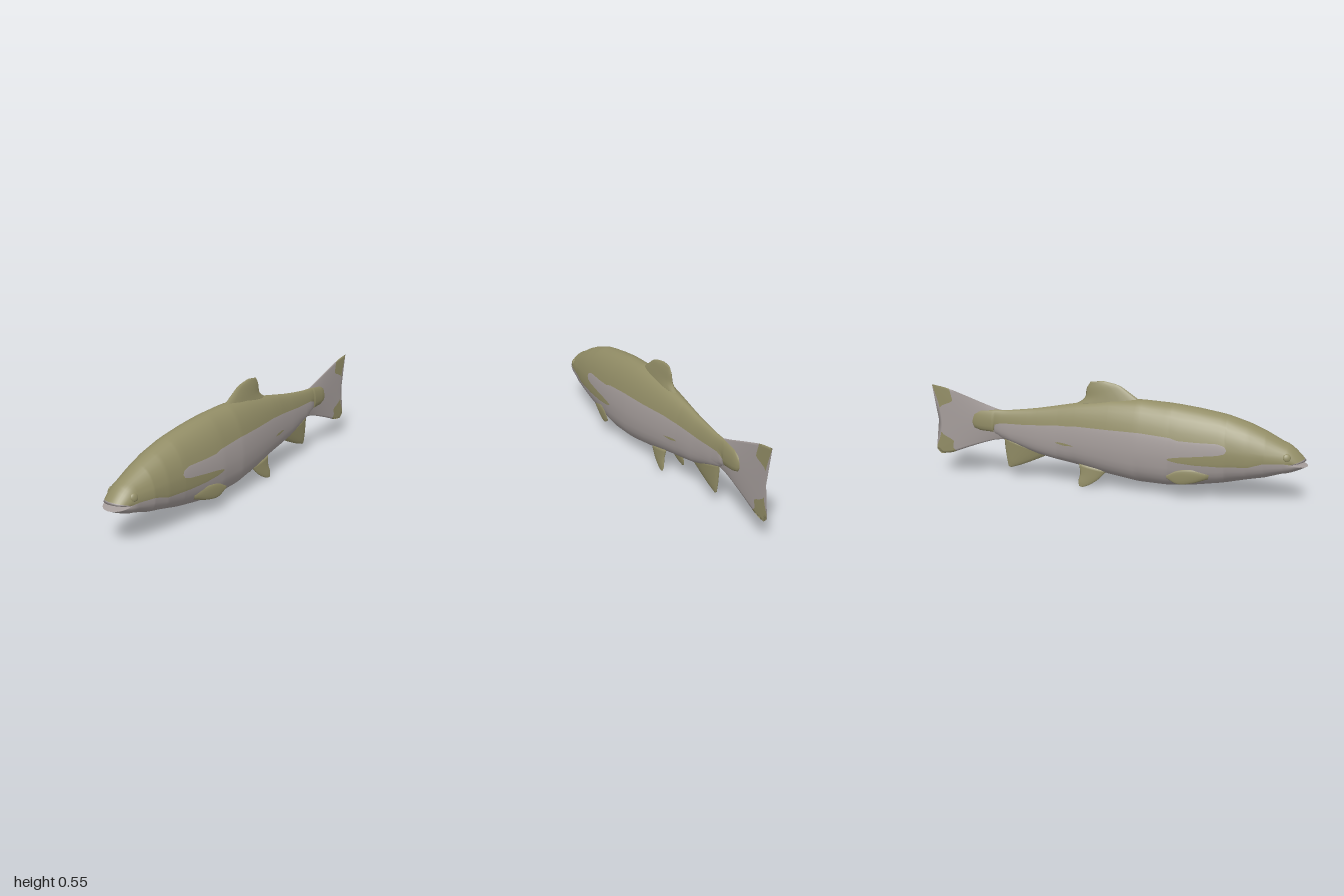
import * as THREE from 'three';
import { mergeVertices } from 'three/addons/utils/BufferGeometryUtils.js';

const V = (x, y, z) => new THREE.Vector3(x, y, z);
const { lerp, clamp } = THREE.MathUtils;

// Closed, capped loft through rings of points; colourOf(i, j) picks material 0 or 1 per face.
function loft(name, rings, materials, colourOf = () => 0) {
  const n = rings[0].length;
  const middle = ring => {
    const c = ring.reduce((sum, p) => sum.add(p), V(0, 0, 0)).divideScalar(n);
    return ring.map(() => c);
  };
  const all = [middle(rings[0]), ...rings, middle(rings[rings.length - 1])];
  const pts = all.flat();
  const faces = [[], []];
  let volume = 0;
  const tri = (list, a, b, c) => {
    list.push(a, b, c);
    volume += pts[a].dot(pts[b].clone().cross(pts[c]));
  };
  for (let i = 0; i < all.length - 1; i++) {
    for (let j = 0; j < n; j++) {
      const list = faces[colourOf(i - 1, j)];
      const a = i * n + j, b = i * n + (j + 1) % n;
      tri(list, a, b, b + n);
      tri(list, a, b + n, a + n);
    }
  }
  // Turn all faces outward
  if (volume < 0) faces.forEach(f => f.reverse());
  let geo = new THREE.BufferGeometry().setFromPoints(pts);
  geo.setIndex([...faces[0], ...faces[1]]);
  geo.addGroup(0, faces[0].length, 0);
  geo.addGroup(faces[0].length, faces[1].length, 1);
  geo = mergeVertices(geo, 1e-5);
  geo.computeVertexNormals();
  const mesh = new THREE.Mesh(geo, materials);
  mesh.name = name;
  return mesh;
}

// Read a table row at z (rows run from high z to low z), straight or smooth.
function sample(table, z, col, smooth) {
  let k = 0;
  while (k < table.length - 2 && z < table[k + 1][0]) k++;
  const a = table[k], b = table[k + 1];
  const t = clamp((z - a[0]) / (b[0] - a[0]), 0, 1);
  if (!smooth) return lerp(a[col], b[col], t);
  const p = table[Math.max(k - 1, 0)], q = table[Math.min(k + 2, table.length - 1)];
  const d = b[0] - a[0];
  const ma = (b[col] - p[col]) / (b[0] - p[0]) * d, mb = (q[col] - a[col]) / (q[0] - a[0]) * d;
  const t2 = t * t, t3 = t2 * t;
  return (2 * t3 - 3 * t2 + 1) * a[col] + (t3 - 2 * t2 + t) * ma + (3 * t2 - 2 * t3) * b[col] + (t3 - t2) * mb;
}

// Body: z, back height, belly height, half width
const PROFILE = [
  [0.88, 0.305, 0.148, 0.085], [0.8, 0.348, 0.123, 0.1], [0.7, 0.39, 0.103, 0.113],
  [0.6, 0.42, 0.08, 0.12], [0.46, 0.445, 0.057, 0.125], [0.3, 0.463, 0.043, 0.126],
  [0.14, 0.47, 0.05, 0.118], [0, 0.462, 0.072, 0.102], [-0.18, 0.432, 0.108, 0.075],
  [-0.39, 0.392, 0.145, 0.047], [-0.55, 0.37, 0.2, 0.03], [-0.6, 0.367, 0.216, 0.026],
  [-0.65, 0.366, 0.243, 0.024], [-0.72, 0.36, 0.248, 0.021], [-0.755, 0.34, 0.26, 0.016],
  [-0.772, 0.305, 0.285, 0.004],
];
// Colour borders: z, flank band top, flank band bottom, lower olive patch bottom
const BORDERS = [
  [0.88, 0.25, 0.25, 0.211], [0.79, 0.255, 0.255, 0.208], [0.72, 0.26, 0.26, 0.187],
  [0.615, 0.265, 0.265, 0.183], [0.605, 0.283, 0.248, 0.183], [0.57, 0.295, 0.238, 0.181],
  [0.46, 0.295, 0.225, 0.181], [0.37, 0.298, 0.215, 0.188], [0.33, 0.31, 0.208, 0.196],
  [0.32, 0.311, 0.202, 0.202], [0.17, 0.322, 0.2, 0.2], [-0.18, 0.322, 0.218, 0.218],
  [-0.23, 0.318, 0.228, 0.215], [-0.27, 0.317, 0.231, 0.222], [-0.285, 0.316, 0.226, 0.226],
  [-0.45, 0.303, 0.23, 0.23], [-0.6, 0.3, 0.23, 0.23], [-0.635, 0.29, 0.2, 0.2],
  [-0.655, 0.2, 0.2, 0.2], [-0.772, 0.2, 0.2, 0.2],
];
const STEPS = [7, 5, 4, 7]; // points in each colour zone, back to belly
const HALF = STEPS.reduce((a, b) => a + b);
const mirrorRing = half => [...half, ...half.slice(1, -1).reverse().map(p => V(-p.x, p.y, p.z))];

function sectionAngles(z, top, bot, mid) {
  const angle = y => y >= mid
    ? Math.asin(clamp((y - mid) / (top - mid), 0, 1))
    : -Math.asin(clamp((mid - y) / (mid - bot), 0, 1) ** 1.25);
  const stops = [top, ...[1, 2, 3].map(c => clamp(sample(BORDERS, z, c), bot, top)), bot].map(angle);
  const out = [stops[0]];
  STEPS.forEach((n, k) => {
    for (let i = 1; i <= n; i++) out.push(lerp(stops[k], stops[k + 1], i / n));
  });
  return out;
}

function section(z) {
  const [top, bot, w] = [1, 2, 3].map(c => sample(PROFILE, z, c, true));
  const mid = bot + 0.4 * (top - bot);
  const angles = sectionAngles(z, top, bot, mid);
  const points = angles.map(a => {
    const s = Math.sin(a), c = Math.max(0, Math.cos(a));
    return s >= 0 ? V(w * c, mid + (top - mid) * s, z)
      : V(w * c ** 0.8, mid - (mid - bot) * (-s) ** 0.8, z);
  });
  return { angles, points };
}

function makeBody(materials) {
  const rings = [];
  // Mouth hollow, lips and snout, drawn forward from the first section
  const head = section(0.88);
  const lips = head.angles.map(a => {
    const s = Math.sin(a), c = Math.max(0, Math.cos(a));
    return s >= 0 ? V(0.072 * c, 0.205 + 0.012 * s, 0.92 + 0.07 * s)
      : V(0.072 * c, 0.203 + 0.013 * s, 0.92 - 0.08 * s);
  });
  rings.push(mirrorRing(lips.map(p => V(p.x * 0.85, 0.204, 0.912))));
  for (const f of [1, 0.93, 0.8, 0.6, 0.4, 0.2]) {
    rings.push(mirrorRing(head.points.map((p, i) => {
      const q = lips[i], g = f ** 1.5;
      return V(lerp(p.x, q.x, g), lerp(p.y, q.y, g), lerp(p.z, q.z, f));
    })));
  }
  const zs = [...new Set([...PROFILE, ...BORDERS].map(r => r[0]))].sort((a, b) => b - a);
  zs.forEach(z => rings.push(mirrorRing(section(z).points)));
  const ends = STEPS.map((_, k) => STEPS.slice(0, k + 1).reduce((a, b) => a + b));
  return loft('body', rings, materials, (i, j) => {
    if (i < 2) return 1; // pale lips
    const jj = j < HALF ? j : 2 * HALF - 1 - j;
    return ends.findIndex(e => jj < e) % 2;
  });
}

// Fin with a lens-shaped section between a front edge and a rear edge
function makeFin(name, front, rear, thick, materials) {
  const [a, b] = [front, rear].map(e => new THREE.CatmullRomCurve3(e.map(p => V(...p))));
  const rings = [];
  for (let i = 0; i <= 12; i++) {
    const s = i / 12, p = a.getPoint(s), q = b.getPoint(s), ring = [];
    for (let j = 0; j < 16; j++) {
      const t = j / 16 * Math.PI * 2;
      const v = p.clone().lerp(q, 0.5 - 0.5 * Math.cos(t));
      v.x += Math.sin(t) * thick * (1 - 0.85 * s);
      ring.push(v);
    }
    rings.push(ring);
  }
  return loft(name, rings, materials);
}

// Forked tail fin with dark tips
function makeTail(materials) {
  const TOP = [[-0.53, 0.362], [-0.6, 0.366], [-0.66, 0.382], [-0.81, 0.433], [-0.92, 0.468], [-1, 0.482]];
  const LOW = [[-0.53, 0.212], [-0.635, 0.203], [-0.72, 0.178], [-0.82, 0.142], [-0.9, 0.112], [-0.985, 0.102]];
  const END = [[1, -1], [0.93, -0.99], [0.7, -0.962], [0.45, -0.95], [0.25, -0.962], [0.08, -0.985], [0, -0.96]];
  const N = 28, K = 12, M = 16;
  const rings = [];
  for (let i = 0; i <= M; i++) {
    const half = [];
    for (let j = 0; j <= N; j++) {
      const t = 1 - j / N;
      const edge = 1 - 0.21 * THREE.MathUtils.smoothstep(Math.abs(t - 0.5), 0.17, 0.34);
      const s = i <= K ? edge * i / K : lerp(edge, 1, (i - K) / (M - K));
      const z = lerp(-0.53, sample(END, t, 1, true), s);
      const y = lerp(sample(LOW, z, 1, true), sample(TOP, z, 1, true), t);
      half.push(V(0.014 * (1 - s * 0.9) * (1 - (2 * t - 1) ** 2), y, z));
    }
    rings.push(mirrorRing(half));
  }
  return loft('tailFin', rings, materials, i => (i >= K && i < M ? 0 : 1));
}

export function createModel() {
  const olive = new THREE.MeshStandardMaterial({ color: 0x928d66 });
  olive.name = 'olive';
  const silver = new THREE.MeshStandardMaterial({ color: 0xa59d9b });
  silver.name = 'silver';
  const mats = [olive, silver];
  const model = new THREE.Group();
  model.name = 'fish';

  model.add(makeBody(mats), makeTail(mats));
  model.add(makeFin('dorsalFin',
    [[0, 0.45, 0.17], [0, 0.498, 0.1], [0, 0.535, 0.04], [0, 0.553, -0.04]],
    [[0, 0.42, -0.2], [0, 0.462, -0.14], [0, 0.51, -0.13], [0, 0.545, -0.11]], 0.03, mats));
  model.add(makeFin('analFin',
    [[0, 0.15, -0.33], [0, 0.108, -0.42], [0, 0.075, -0.5], [0, 0.057, -0.555]],
    [[0, 0.22, -0.59], [0, 0.16, -0.585], [0, 0.1, -0.577], [0, 0.065, -0.57]], 0.02, mats));

  // Paired fins and eyes
  for (const [side, k] of [['left', 1], ['right', -1]]) {
    model.add(makeFin(side + 'PelvicFin',
      [[k * 0.045, 0.095, -0.01], [k * 0.052, 0.05, -0.05], [k * 0.059, 0.015, -0.1], [k * 0.063, 0.001, -0.135]],
      [[k * 0.045, 0.12, -0.16], [k * 0.052, 0.07, -0.152], [k * 0.059, 0.03, -0.16], [k * 0.063, 0.006, -0.155]],
      0.013, mats));
    model.add(makeFin(side + 'PectoralFin',
      [[k * 0.1, 0.146, 0.535], [k * 0.119, 0.157, 0.45], [k * 0.132, 0.15, 0.375], [k * 0.138, 0.122, 0.322]],
      [[k * 0.1, 0.11, 0.525], [k * 0.117, 0.087, 0.45], [k * 0.13, 0.082, 0.375], [k * 0.137, 0.11, 0.325]],
      0.011, mats));
    const eye = new THREE.Mesh(new THREE.SphereGeometry(0.02, 20, 14), olive);
    eye.name = side + 'Eye';
    eye.scale.x = 0.45;
    eye.position.set(k * 0.072, 0.24, 0.903);
    eye.rotation.set(0, -k * 0.35, k * 0.25);
    model.add(eye);
  }
  return model;
}
